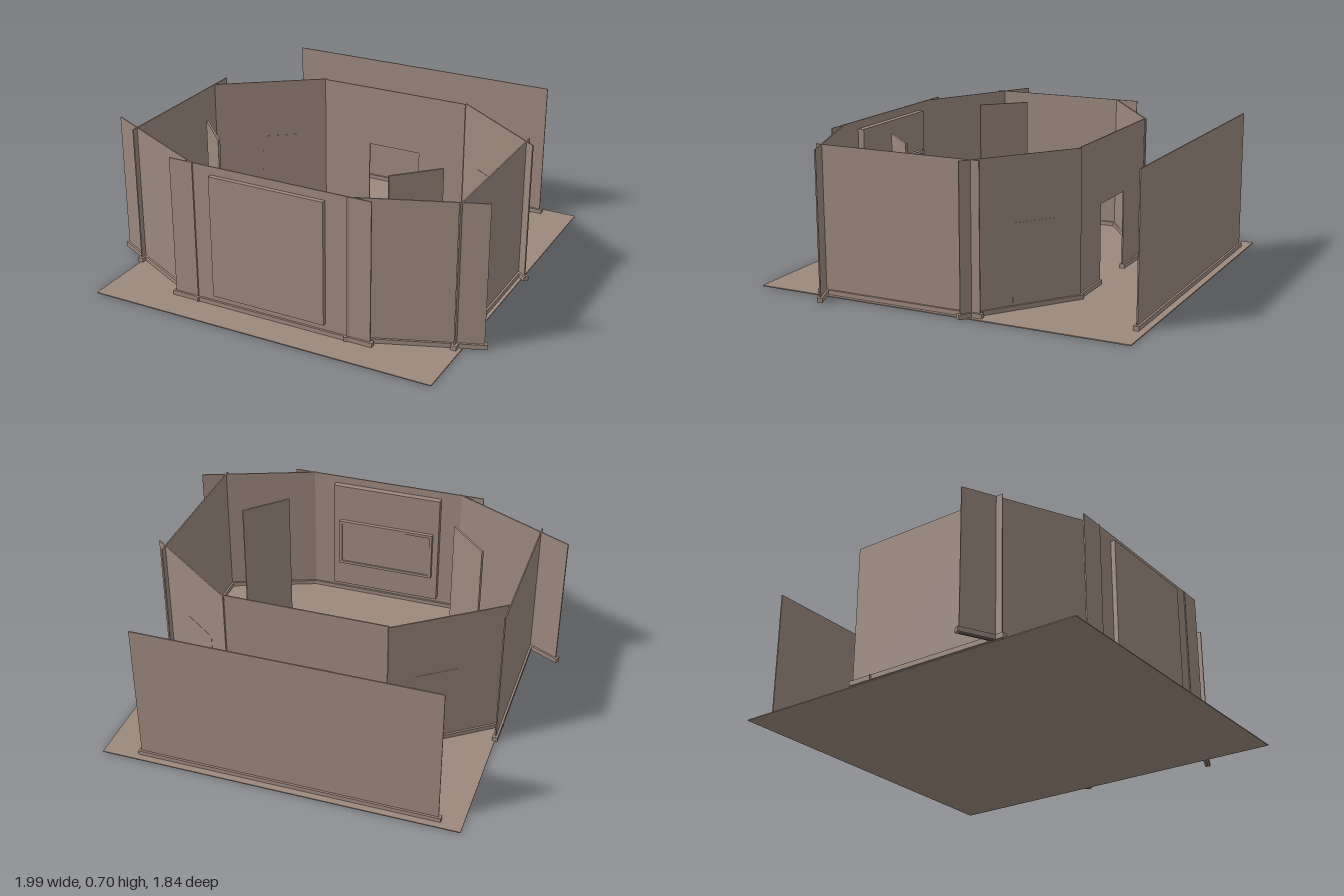
import * as THREE from 'three';

export function createModel() {
  const model = new THREE.Group();
  const clay = new THREE.MeshStandardMaterial({ color: 0x9c887d });
  clay.name = 'warm taupe';

  const box = (name, x0, x1, y0, y1, z0, z1) => {
    const mesh = new THREE.Mesh(new THREE.BoxGeometry(x1 - x0, y1 - y0, z1 - z0), clay);
    mesh.position.set((x0 + x1) / 2, (y0 + y1) / 2, (z0 + z1) / 2);
    mesh.name = name;
    model.add(mesh);
    return mesh;
  };

  // Upright slab standing along the line from a to b, both [x, z]
  const slab = (name, a, b, y0, y1, thick, extend = 0) => {
    const dx = b[0] - a[0], dz = b[1] - a[1];
    const mesh = new THREE.Mesh(
      new THREE.BoxGeometry(Math.hypot(dx, dz) + extend, y1 - y0, thick), clay);
    mesh.position.set((a[0] + b[0]) / 2, (y0 + y1) / 2, (a[1] + b[1]) / 2);
    mesh.rotation.y = -Math.atan2(dz, dx);
    mesh.name = name;
    model.add(mesh);
    return mesh;
  };

  const H = 0.7;
  box('floor', -0.83, 0.89, 0, 0.005, -0.87, 0.97);

  // Straight and oblique walls, each on a low foot rail
  const walls = [
    ['backdropWall', [-0.72, -0.825], [0.71, -0.825]],
    ['frontWall', [-0.49, 0.805], [0.525, 0.805]],
    ['frontRightWall', [-0.98, 0.5], [-0.365, 0.81]],
    ['frontLeftWall', [0.41, 0.81], [0.975, 0.59]],
    ['rightSideWall', [-0.83, -0.21], [-0.83, 0.61]],
    ['leftSideWall', [0.86, -0.16], [0.86, 0.66]],
    ['backRightWall', [-0.83, -0.095], [-0.36, -0.44]],
    ['backLeftWall', [0.425, -0.44], [0.905, -0.085]],
  ];
  for (const [name, a, b] of walls) {
    slab(name, a, b, 0, H, 0.006);
    slab(name + 'Rail', a, b, 0.003, 0.026, 0.026, 0.024);
  }

  // Inner back wall with a doorway
  const back = new THREE.Shape();
  [[-0.36, 0], [-0.1, 0], [-0.1, 0.39], [0.18, 0.39], [0.18, 0], [0.425, 0], [0.425, H], [-0.36, H]]
    .forEach(([x, y], i) => (i ? back.lineTo(x, y) : back.moveTo(x, y)));
  const backWall = new THREE.Mesh(
    new THREE.ExtrudeGeometry(back, { depth: 0.006, bevelEnabled: false }), clay);
  backWall.position.z = -0.433;
  backWall.name = 'doorwayWall';
  model.add(backWall);
  box('doorwayRailRight', -0.36, -0.1, 0.003, 0.026, -0.443, -0.417);
  box('doorwayRailLeft', 0.18, 0.425, 0.003, 0.026, -0.443, -0.417);

  // Nearly flush doors set into the oblique back walls
  slab('rightDoor', [-0.635, -0.238], [-0.465, -0.363], 0.04, 0.4, 0.009);
  slab('leftDoor', [0.53, -0.362], [0.70, -0.237], 0.04, 0.4, 0.009);

  // Large panel through the front wall
  box('frontPanel', -0.27, 0.305, 0.06, 0.66, 0.77, 0.83);

  // Framed screen on the inside of the front panel
  const fx0 = -0.24, fx1 = 0.27, fy0 = 0.2, fy1 = 0.46, t = 0.015;
  box('screen', fx0 + t, fx1 - t, fy0 + t, fy1 - t, 0.757, 0.77);
  box('screenFrameBottom', fx0, fx1, fy0, fy0 + t, 0.75, 0.77);
  box('screenFrameTop', fx0, fx1, fy1 - t, fy1, 0.75, 0.77);
  box('screenFrameSide', fx0, fx0 + t, fy0 + t, fy1 - t, 0.75, 0.77);
  box('screenFrameSide', fx1 - t, fx1, fy0 + t, fy1 - t, 0.75, 0.77);

  // Free-standing diagonal partitions
  slab('rightPartition', [-0.6, 0.325], [-0.415, 0.51], 0, 0.69, 0.01);
  slab('leftPartition', [0.46, 0.51], [0.64, 0.325], 0, 0.69, 0.01);

  // Small pedestal in the middle
  box('pedestal', -0.008, 0.052, 0.005, 0.06, 0.065, 0.125);
  box('pedestalKnob', 0.014, 0.03, 0.06, 0.08, 0.083, 0.099).rotation.y = -0.8;

  return model;
}
